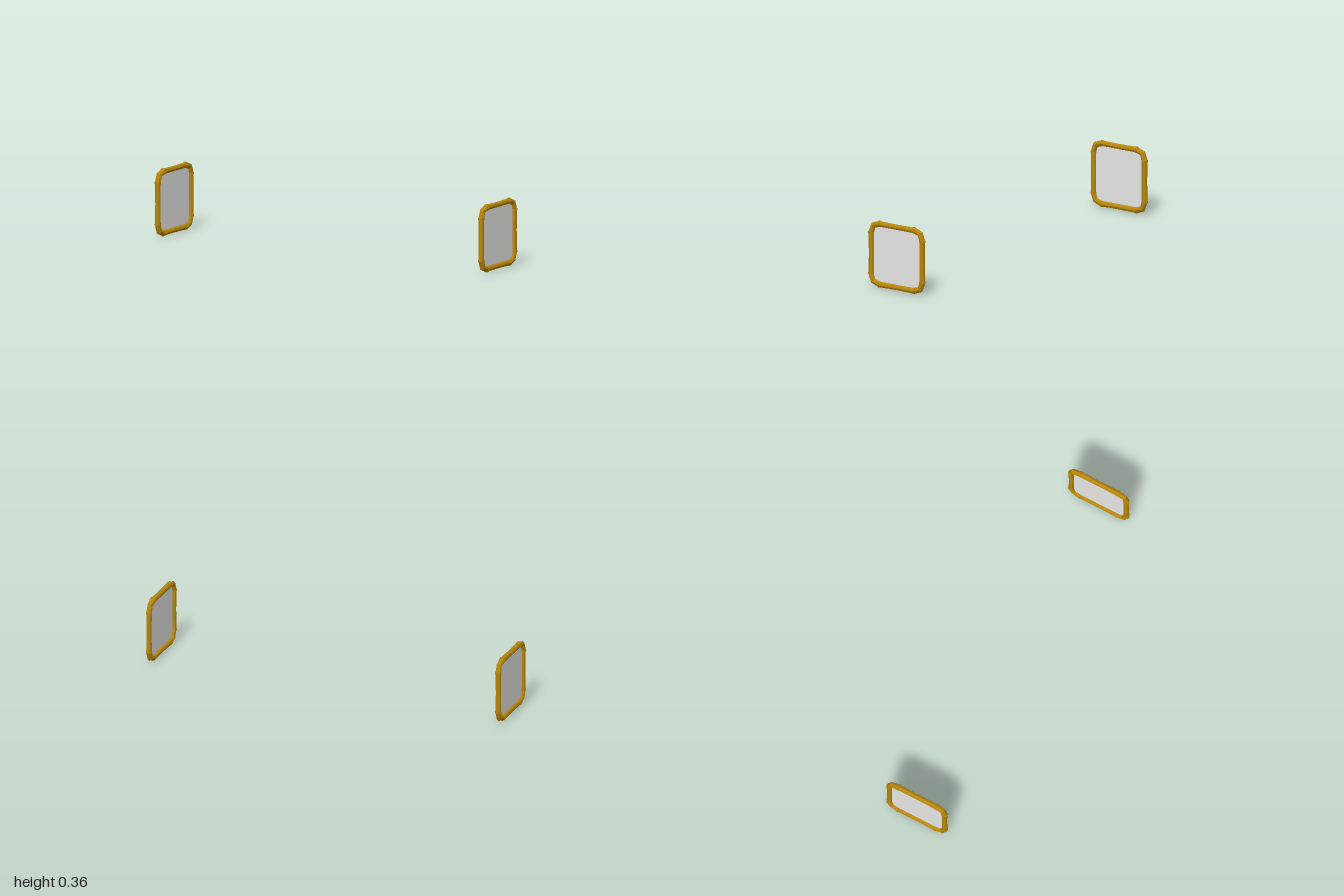
import * as THREE from 'three';

const HALF = 0.1625;   // frame centre line from panel centre
const RUN = 0.11;      // half length of each straight pole
const CORNER = 0.149;  // middle of each bent corner
const SIDES = 8;

// Closed eight-sided tube in the XY plane; each point is [x, y, radius]
function closedTube(points) {
  const n = points.length;
  const positions = [], index = [];
  points.forEach(([x, y, r], i) => {
    const [ax, ay] = points[(i + n - 1) % n];
    const [bx, by] = points[(i + 1) % n];
    const before = new THREE.Vector2(x - ax, y - ay).normalize();
    const after = new THREE.Vector2(bx - x, by - y).normalize();
    const along = before.clone().add(after).normalize();
    const mitre = r / Math.max(0.8, along.dot(after));
    for (let k = 0; k < SIDES; k++) {
      const a = (k / SIDES) * Math.PI * 2;
      const out = Math.cos(a) * mitre;
      positions.push(x + along.y * out, y - along.x * out, Math.sin(a) * r);
      const k2 = (k + 1) % SIDES, j = (i + 1) % n;
      const p = i * SIDES + k, q = i * SIDES + k2, s = j * SIDES + k, t = j * SIDES + k2;
      index.push(p, t, q, p, s, t);
    }
  });
  const geometry = new THREE.BufferGeometry();
  geometry.setAttribute('position', new THREE.Float32BufferAttribute(positions, 3));
  geometry.setIndex(index);
  const flat = geometry.toNonIndexed();
  flat.computeVertexNormals();
  return flat;
}

// Repeat one side's points around the square, counter-clockwise
function aroundSquare(side) {
  const points = [];
  for (let i = 0; i < 4; i++) {
    const c = Math.round(Math.cos(i * Math.PI / 2)), s = Math.round(Math.sin(i * Math.PI / 2));
    side.forEach(([x, y, r]) => points.push([x * c - y * s, x * s + y * c, r]));
  }
  return points;
}

export function createModel() {
  const gold = new THREE.MeshStandardMaterial({ color: 0xb8860b });
  gold.name = 'goldenBamboo';
  const white = new THREE.MeshStandardMaterial({ color: 0xfefefc, side: THREE.DoubleSide });
  white.name = 'whitePanel';

  // Right-hand pole, slightly waisted, followed by the bend into the next pole
  const frameGeometry = closedTube(aroundSquare([
    [HALF, -RUN, 0.0155],
    [HALF - 0.0005, -0.06, 0.0147],
    [HALF - 0.001, 0, 0.0143],
    [HALF - 0.0005, 0.06, 0.0147],
    [HALF, RUN, 0.0155],
    [CORNER, CORNER, 0.0145],
  ]));

  // Panel outline follows the frame's centre line
  const outline = aroundSquare([[HALF, -RUN], [HALF, RUN], [CORNER, CORNER]])
    .map(([x, y]) => new THREE.Vector2(x, y));
  const panelGeometry = new THREE.ShapeGeometry(new THREE.Shape(outline));

  const collarGeometry = new THREE.CylinderGeometry(0.0175, 0.0175, 0.008, SIDES).toNonIndexed();
  collarGeometry.computeVertexNormals();

  function makeFramedPanel(name, x) {
    const group = new THREE.Group();
    group.name = name;
    const frame = new THREE.Mesh(frameGeometry, gold);
    frame.name = 'bambooFrame';
    const panel = new THREE.Mesh(panelGeometry, white);
    panel.name = 'panel';
    group.add(frame, panel);

    // A collar at both ends of every pole
    for (let i = 0; i < 4; i++) {
      const pole = new THREE.Group();
      pole.name = 'poleCollars';
      pole.rotation.z = i * Math.PI / 2;
      for (const end of [-1, 1]) {
        const collar = new THREE.Mesh(collarGeometry, gold);
        collar.name = 'collar';
        collar.position.set(HALF, end * RUN, 0);
        pole.add(collar);
      }
      group.add(pole);
    }
    group.rotation.y = Math.PI / 2;
    group.position.set(x, 0.18, 0);
    return group;
  }

  const model = new THREE.Group();
  model.name = 'framedPanelPair';
  model.add(makeFramedPanel('leftPanel', 0.9825), makeFramedPanel('rightPanel', -0.9825));
  return model;
}
